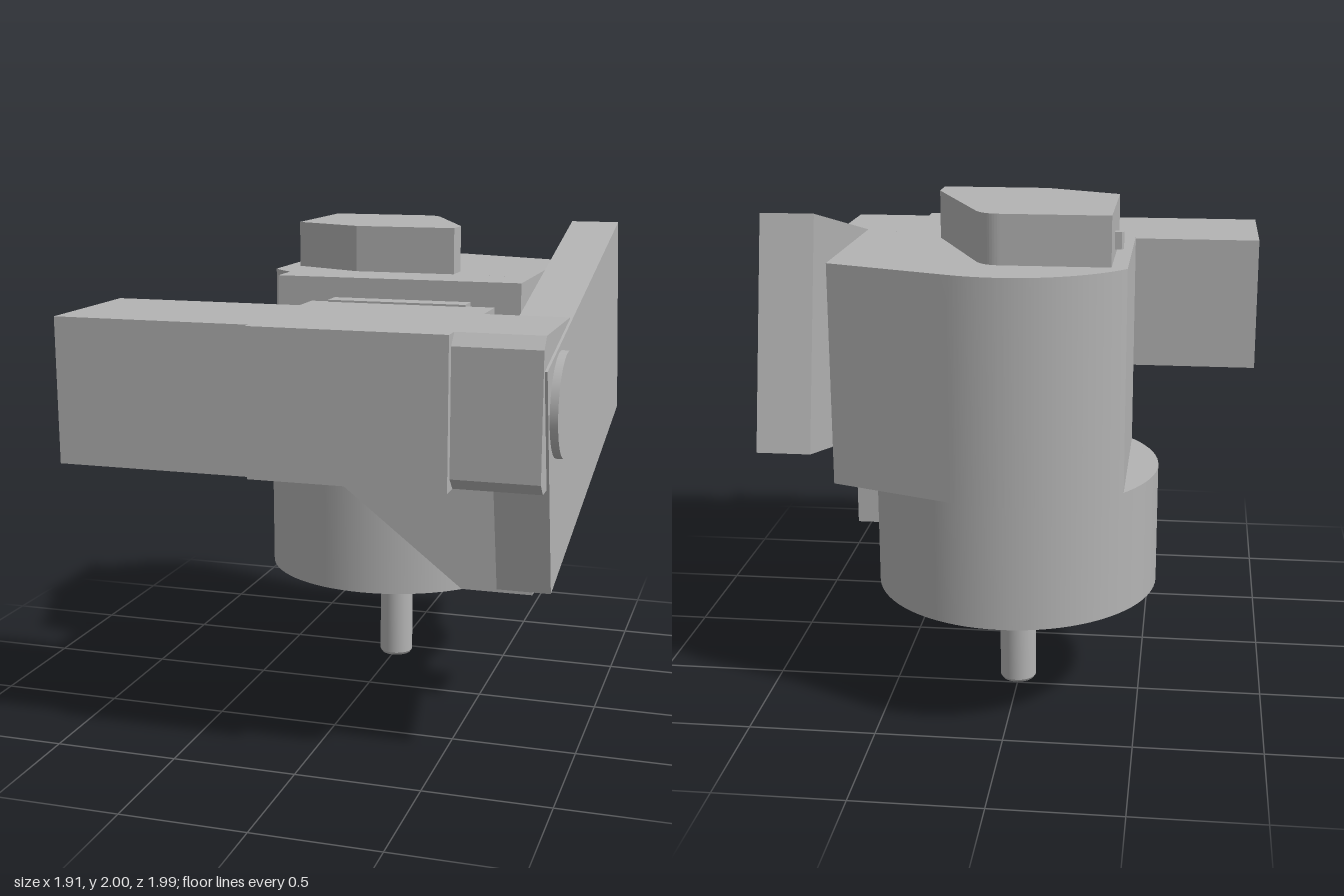
import * as THREE from 'three';
import { toCreasedNormals } from 'three/addons/utils/BufferGeometryUtils.js';

export function createModel() {
  const model = new THREE.Group();
  const grey = new THREE.MeshStandardMaterial({ color: 0xb4b4b4 });
  grey.name = 'plain grey';

  const add = (name, geometry) => {
    const mesh = new THREE.Mesh(geometry, grey);
    mesh.name = name;
    model.add(mesh);
    return mesh;
  };
  // box given by its limits on each axis
  const box = (name, [x0, x1], [y0, y1], [z0, z1]) =>
    add(name, new THREE.BoxGeometry(x1 - x0, y1 - y0, z1 - z0)
      .translate((x0 + x1) / 2, (y0 + y1) / 2, (z0 + z1) / 2));
  const polygon = (points) => new THREE.Shape(points.map(([x, y]) => new THREE.Vector2(x, y)));
  const extrude = (shape, depth) => toCreasedNormals(
    new THREE.ExtrudeGeometry(shape, { depth, bevelEnabled: false, curveSegments: 48 }), 0.4);
  // outline drawn as (x, -z), raised from y0 to y1
  const raise = (name, shape, y0, y1) =>
    add(name, extrude(shape, y1 - y0).rotateX(-Math.PI / 2).translate(0, y0, 0));
  // outline drawn as (-z, y), swept from x0 to x1
  const sweepX = (name, shape, x0, x1) =>
    add(name, extrude(shape, x1 - x0).rotateY(Math.PI / 2).translate(x0, 0, 0));

  const cx = 0.004, cz = -0.43, R = 0.565;

  // round base with its drive shaft
  add('base', new THREE.CylinderGeometry(R, R, 0.49, 80).translate(cx, 0.705, cz));
  add('shaft', toCreasedNormals(new THREE.LatheGeometry(
    [[0, 0], [0.066, 0], [0.074, 0.012], [0.074, 0.47], [0, 0.47]].map(([x, y]) => new THREE.Vector2(x, y)), 40), 0.4)
    .translate(cx, 0, cz));

  // turret body: round at the back, flat on its right, square on its left
  const body = new THREE.Shape();
  body.moveTo(0.675, 0.07);
  body.lineTo(0.675, 0.79);
  body.absarc(cx, -cz, R, 1.225, Math.PI - 0.667, false);
  body.absarc(cx, -cz, R, Math.PI + 0.667, Math.PI * 2 - 0.69, false);
  body.closePath();
  raise('turretBody', body, 0.95, 1.81);

  // front mounting plate with the slanted lower edge
  add('frontPlate', extrude(polygon([
    [-0.345, 1.81], [-0.345, 1.15], [0.45, 0.525], [0.75, 0.525],
    [0.75, 1.055], [0.675, 1.055], [0.675, 1.81],
  ]), 0.23).translate(0, 0, -0.07));

  // cap on top, one corner rounded
  const cap = new THREE.Shape();
  cap.moveTo(-0.38, 0.22);
  cap.lineTo(-0.08, 0.08);
  cap.lineTo(0.342, 0.08);
  cap.lineTo(0.342, 0.2);
  cap.lineTo(0.128, 0.695);
  cap.quadraticCurveTo(0.098, 0.763, 0.03, 0.763);
  cap.lineTo(-0.38, 0.763);
  cap.closePath();
  raise('topCap', cap, 1.81, 2);
  raise('capKnob', polygon([
    [-0.37, 0.525], [-0.37, 0.555], [-0.406, 0.555], [-0.414, 0.547], [-0.414, 0.533], [-0.406, 0.525],
  ].reverse()), 1.84, 1.906);

  // neck, centre housing and side motor
  box('neck', [-0.1, 0.47], [1.144, 1.728], [0.15, 0.25]);
  box('centreHousing', [-0.175, 0.585], [1.15, 1.72], [0.235, 0.99]);
  box('sideMotor', [-0.957, -0.17], [1.15, 1.72], [0.384, 0.956]);

  // chamfered wrist
  const z0 = 0.384, z1 = 0.956, c = 0.045;
  sweepX('wrist', polygon([
    [-z1 + c, 1.15], [-z0 - c, 1.15], [-z0, 1.15 + c], [-z0, 1.72 - c],
    [-z0 - c, 1.72], [-z1 + c, 1.72], [-z1, 1.72 - c], [-z1, 1.15 + c],
  ]), 0.01, 0.915);

  // tilted arm and its pivot disc
  sweepX('tiltedArm', polygon([
    [-0.742, 0.73], [0.96, 1.12], [0.76, 1.988], [-0.94, 1.598],
  ]), 0.72, 0.925);
  add('pivotDisc', new THREE.CylinderGeometry(0.198, 0.198, 0.04, 64)
    .rotateZ(-Math.PI / 2).translate(0.935, 1.434, 0.675));

  return model;
}
